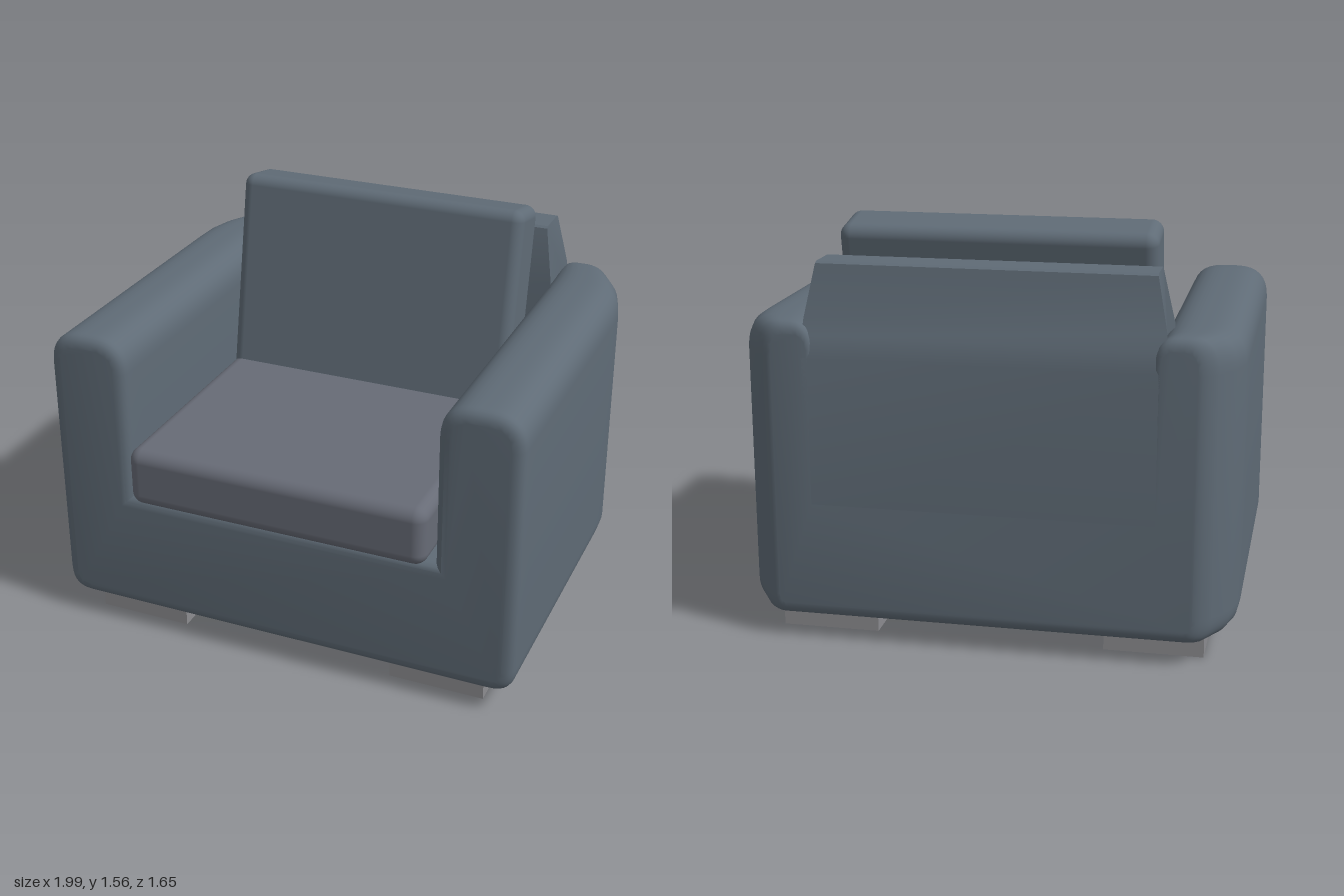
import * as THREE from 'three';
import { toCreasedNormals } from 'three/addons/utils/BufferGeometryUtils.js';
import { RoundedBoxGeometry } from 'three/addons/geometries/RoundedBoxGeometry.js';

const fabric = new THREE.MeshStandardMaterial({ color: 0x5f6b76 });
const seatFabric = new THREE.MeshStandardMaterial({ color: 0x676b76 });
const footGrey = new THREE.MeshStandardMaterial({ color: 0x8c8c90 });

// Move every vertex by a rule, then smooth all but the sharp edges
function reshape(geometry, rule, crease = 0.7) {
  const p = geometry.attributes.position;
  const v = new THREE.Vector3();
  for (let i = 0; i < p.count; i++) {
    rule(v.fromBufferAttribute(p, i));
    p.setXYZ(i, v.x, v.y, v.z);
  }
  return toCreasedNormals(geometry, crease);
}

// U-shaped outline: two rounded arms joined by the base
function frameShape() {
  const outer = 0.93, inner = 0.615, bottom = 0.09, deck = 0.58, top = 1.222;
  const r = 0.13, low = 0.1;
  const s = new THREE.Shape();
  s.moveTo(-outer + low, bottom);
  s.lineTo(outer - low, bottom);
  s.quadraticCurveTo(outer, bottom, outer, bottom + low);
  s.lineTo(outer, top - r);
  s.quadraticCurveTo(outer, top, outer - r, top);
  s.lineTo(inner + r, top);
  s.quadraticCurveTo(inner, top, inner, top - r);
  s.lineTo(inner, deck);
  s.lineTo(-inner, deck);
  s.lineTo(-inner, top - r);
  s.quadraticCurveTo(-inner, top, -inner - r, top);
  s.lineTo(-outer + r, top);
  s.quadraticCurveTo(-outer, top, -outer, top - r);
  s.lineTo(-outer, bottom + low);
  s.quadraticCurveTo(-outer, bottom, -outer + low, bottom);
  return s;
}

function frameGeometry() {
  const bevel = 0.04, front = 0.715, back = -0.745;
  const g = new THREE.ExtrudeGeometry(frameShape(), {
    depth: front - back - 2 * bevel, steps: 16, curveSegments: 8,
    bevelThickness: bevel, bevelSize: 0.045, bevelOffset: -0.045, bevelSegments: 4,
  });
  g.translate(0, 0, back + bevel);
  // Pull the outer sides in towards the back for wide rear corners
  return reshape(g, (v) => {
    const t = Math.max(0, (-0.46 - v.z) / 0.285);
    const side = Math.max(0, Math.abs(v.x) - 0.6);
    v.x = Math.sign(v.x) * (Math.abs(v.x) - side * 0.38 * t ** 2.5);
  });
}

// Back panel: a side profile run across the chair, narrowing above the arms
function backGeometry() {
  const half = 0.66;
  const profile = [
    [-0.46, 0.4], [-0.745, 0.4], [-0.745, 1.09], [-0.73, 1.17], [-0.705, 1.23],
    [-0.67, 1.425], [-0.66, 1.432], [-0.53, 1.432], [-0.52, 1.425], [-0.47, 1.22],
  ].map(([z, y]) => new THREE.Vector2(-z, y));
  const g = new THREE.ExtrudeGeometry(new THREE.Shape(profile), { depth: 2 * half, bevelEnabled: false });
  g.translate(0, 0, -half);
  g.rotateY(Math.PI / 2); // profile axis turns to -z, length to x
  return reshape(g, (v) => {
    v.x *= 1 - 0.3 * Math.max(0, v.y - 1.22);
  }, 0.5);
}

export function createModel() {
  const model = new THREE.Group();
  model.name = 'armchair';
  const chair = new THREE.Group();
  chair.name = 'turnedChair';
  chair.rotation.y = -0.124;
  model.add(chair);

  const add = (name, geometry, material, x = 0, y = 0, z = 0) => {
    const mesh = new THREE.Mesh(geometry, material);
    mesh.name = name;
    mesh.position.set(x, y, z);
    chair.add(mesh);
    return mesh;
  };

  add('armsAndBase', frameGeometry(), fabric, 0.007);
  add('backPanel', backGeometry(), fabric, 0.005);

  // Loose cushions
  add('seatCushion', new RoundedBoxGeometry(1.195, 0.235, 1.22, 5, 0.05), seatFabric, 0.003, 0.693, 0.147);
  const backCushion = add('backCushion', new RoundedBoxGeometry(1.185, 0.876, 0.22, 5, 0.045), fabric, 0.003, 1.12, -0.303);
  backCushion.rotation.x = -0.19;

  // Block feet
  const foot = new THREE.BoxGeometry(0.373, 0.12, 0.365);
  for (const [end, z] of [['front', 0.463], ['back', -0.448]]) {
    for (const [side, s] of [['Left', 1], ['Right', -1]]) {
      add(`${end}${side}Foot`, foot, footGrey, s * 0.62, 0.06, z);
    }
  }
  return model;
}
